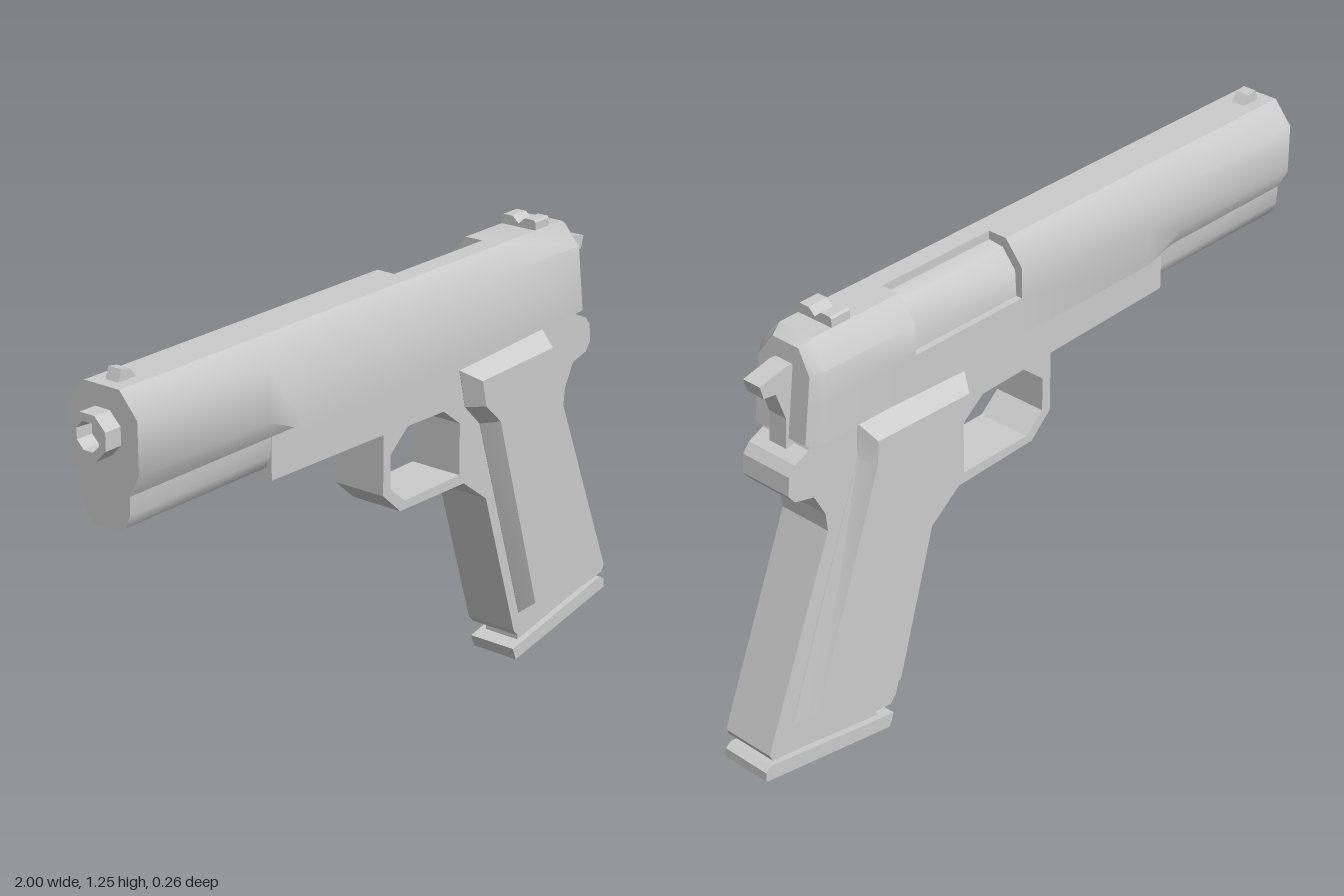
import * as THREE from 'three';
import { toCreasedNormals } from 'three/addons/utils/BufferGeometryUtils.js';

const material = new THREE.MeshStandardMaterial({ color: 0xcccccc });

function toShape(points) {
  return new THREE.Shape(points.map(([x, y]) => new THREE.Vector2(x, y)));
}

// Flat side profile extruded across the width, centred on z = 0
function prism(points, halfWidth, hole) {
  const shape = toShape(points);
  if (hole) shape.holes.push(toShape(hole));
  const geo = new THREE.ExtrudeGeometry(shape, { depth: halfWidth * 2, bevelEnabled: false });
  return geo.translate(0, 0, -halfWidth);
}

// Symmetric (z, y) profile extruded from x0 to x1
function lengthwise(points, x0, x1) {
  const geo = new THREE.ExtrudeGeometry(toShape(points), { depth: x1 - x0, bevelEnabled: false });
  return geo.rotateY(Math.PI / 2).translate(x0, 0, 0);
}

// Skin through rings of [x, y, z]; rings run counter-clockwise seen from the last ring's outside.
// flatten maps a point to 2D for the end caps.
function loft(rings, flatten, crease) {
  const out = [];
  const n = rings[0].length;
  for (let r = 0; r < rings.length - 1; r++) {
    const a = rings[r], b = rings[r + 1];
    for (let i = 0; i < n; i++) {
      const j = (i + 1) % n;
      out.push(...a[i], ...a[j], ...b[j], ...a[i], ...b[j], ...b[i]);
    }
  }
  const cap = (ring, flip) => {
    const flat = ring.map((p) => new THREE.Vector2(...flatten(p)));
    for (const [i, j, k] of THREE.ShapeUtils.triangulateShape(flat, [])) {
      out.push(...ring[i], ...ring[flip ? k : j], ...ring[flip ? j : k]);
    }
  };
  cap(rings[0], true);
  cap(rings[rings.length - 1], false);
  const geo = new THREE.BufferGeometry();
  geo.setAttribute('position', new THREE.Float32BufferAttribute(out, 3));
  geo.computeVertexNormals();
  return toCreasedNormals(geo, crease);
}

// One cross-section of the slide; the port sections are sunk on the -z side
function slideRing(x, { skirt = 0.976, port = false, slant = 0, wide = 1, tall = 1 } = {}) {
  const side = port
    ? [[-0.108, 1.08], [-0.09, 1.08], [-0.086, 1.15], [-0.045, 1.2], [0, 1.205], [0, 1.228]]
    : [[-0.108, 1.08], [-0.108, 1.08], [-0.108, 1.165], [-0.055, 1.228], [0, 1.228], [0, 1.228]];
  const ring = [
    [-0.078, 0.975], [-0.108, skirt], ...side,
    [0.055, 1.228], [0.108, 1.165], [0.108, skirt], [0.078, 0.975],
  ];
  return ring.map(([z, y]) => [x + (1.228 - y) * slant, 0.975 + (y - 0.975) * tall, z * wide]);
}

export function createModel() {
  const model = new THREE.Group();
  const add = (name, geometry) => {
    const mesh = new THREE.Mesh(geometry, material);
    mesh.name = name;
    model.add(mesh);
    return mesh;
  };

  // Slide with flared front skirt, ejection port and bevelled, slanted rear
  add('slide', loft([
    slideRing(-0.95, { skirt: 1.03 }),
    slideRing(-0.5, { skirt: 1.03 }),
    slideRing(-0.37),
    slideRing(0.11),
    slideRing(0.11, { port: true }),
    slideRing(0.48, { port: true }),
    slideRing(0.48),
    slideRing(0.76, { slant: 0.14 }),
    slideRing(0.795, { slant: 0.12, wide: 0.78, tall: 0.93 }),
  ], ([, y, z]) => [-z, y], 0.78));

  // Rounded housing under the front of the slide
  add('springHousing', toCreasedNormals(lengthwise([
    [-0.078, 0.98], [-0.075, 0.925], [-0.062, 0.893], [-0.035, 0.877],
    [0.035, 0.877], [0.062, 0.893], [0.075, 0.925], [0.078, 0.98],
  ], -0.95, -0.4), 0.8));

  // Eight-sided muzzle with a bore
  const muzzle = new THREE.LatheGeometry([
    [0.06, -0.03], [0.06, 0.05], [0.038, 0.05], [0.034, 0.004], [0, 0.004],
  ].map(([r, y]) => new THREE.Vector2(r, y)), 8, Math.PI / 8);
  muzzle.rotateZ(Math.PI / 2).translate(-0.95, 1.117, 0);
  add('muzzle', toCreasedNormals(muzzle, 0.3));

  // Frame, grip core and trigger guard in one profile
  add('frame', prism([
    [-0.46, 0.977], [-0.46, 0.862], [-0.03, 0.852], [-0.03, 0.685], [0.04, 0.622],
    [0.31, 0.615], [0.41, 0.54], [0.55, 0.1], [0.57, 0.078], [0.975, 0.135],
    [0.985, 0.155], [0.76, 0.705], [0.765, 0.755], [0.8, 0.82], [0.86, 0.835],
    [0.88, 0.86], [0.875, 0.91], [0.855, 0.935], [0.81, 0.955], [0.8, 0.977],
  ], 0.078, [
    [0, 0.79], [0.07, 0.847], [0.22, 0.843], [0.29, 0.79],
    [0.29, 0.645], [0.06, 0.645], [0, 0.695],
  ]));

  // Grip panels: bevelled slabs, mirrored on both sides
  const outer = [
    [0.285, 0.938], [0.31, 0.83], [0.375, 0.765], [0.57, 0.148],
    [0.905, 0.208], [0.655, 0.86], [0.65, 0.955],
  ];
  const inner = [
    [0.32, 0.91], [0.338, 0.835], [0.402, 0.775], [0.58, 0.188],
    [0.865, 0.238], [0.636, 0.855], [0.632, 0.918],
  ];
  for (const s of [1, -1]) {
    const ring = (pts, z) => {
      const r = pts.map(([x, y]) => [x, y, z * s]);
      return s > 0 ? r : r.reverse();
    };
    add(s > 0 ? 'leftGripPanel' : 'rightGripPanel',
      loft([ring(outer, 0.07), ring(outer, 0.079), ring(inner, 0.128)], ([x, y]) => [x * s, y], 0.3));
  }

  // Magazine neck and base plate
  add('magazineNeck', prism([[0.6, 0.03], [0.95, 0.09], [0.95, 0.15], [0.6, 0.1]], 0.055));
  add('magazineBase', prism([[0.555, 0.04], [0.57, 0.003], [0.995, 0.078], [0.995, 0.105], [0.975, 0.117]], 0.073));

  // Hammer with rear spur
  add('hammer', prism([
    [0.76, 0.95], [0.835, 0.95], [0.83, 1.03], [0.858, 1.108], [0.895, 1.113],
    [0.905, 1.148], [0.82, 1.167], [0.76, 1.16],
  ], 0.028));

  // Sights
  add('frontSight', prism([[-0.92, 1.22], [-0.905, 1.257], [-0.878, 1.252], [-0.85, 1.22]], 0.02));
  add('rearSight', lengthwise([
    [-0.055, 1.22], [0.055, 1.22], [0.055, 1.25], [0.05, 1.255], [0.02, 1.255],
    [0, 1.237], [-0.02, 1.255], [-0.05, 1.255], [-0.055, 1.25],
  ], 0.64, 0.7));

  return model;
}
